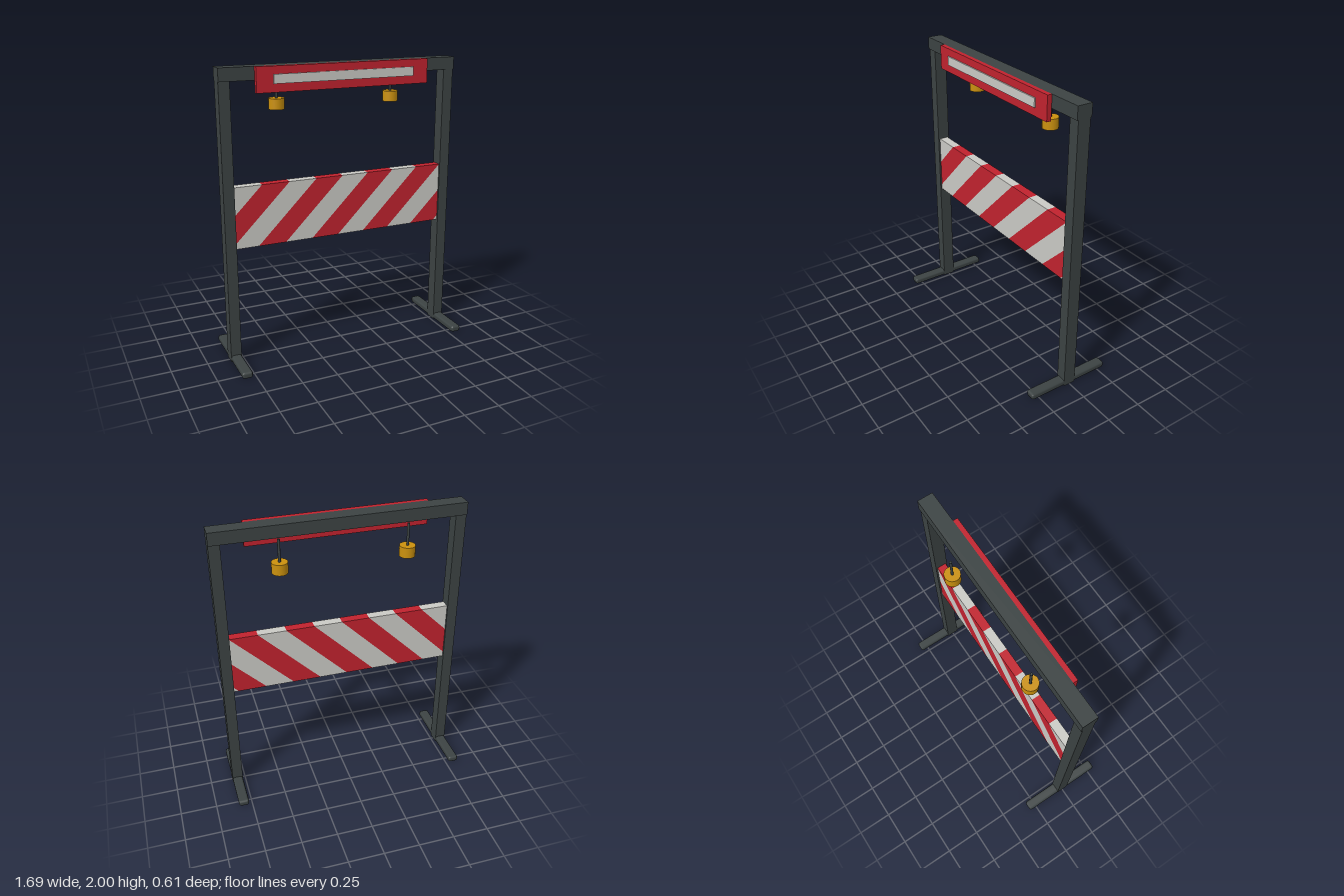
import * as THREE from 'three';
import { RoundedBoxGeometry } from 'three/addons/geometries/RoundedBoxGeometry.js';

const material = (name, color) => {
  const m = new THREE.MeshStandardMaterial({ color });
  m.name = name;
  return m;
};

// Keep the part of a polygon with side * x <= limit
function clipX(points, side, limit) {
  const out = [];
  points.forEach((p, i) => {
    const q = points[(i + 1) % points.length];
    const dp = side * p.x - limit, dq = side * q.x - limit;
    if (dp <= 0) out.push(p);
    if (dp * dq < 0) out.push(p.clone().lerp(q, dp / (dp - dq)));
  });
  return out;
}

export function createModel() {
  const model = new THREE.Group();
  model.name = 'barrier';
  const steel = material('dark steel', 0x3c4343);
  const red = material('signal red', 0xc1222e);
  const white = material('off white', 0xcacac5);
  const amber = material('amber', 0xcb910e);

  const add = (name, geometry, mat, x, y, z, parent = model) => {
    const mesh = new THREE.Mesh(geometry, mat);
    mesh.name = name;
    mesh.position.set(x, y, z);
    parent.add(mesh);
    return mesh;
  };

  // Frame: top beam, posts and chamfered feet
  add('topBeam', new THREE.BoxGeometry(1.69, 0.086, 0.106), steel, 0, 1.957, 0);
  for (const [side, s] of [['left', 1], ['right', -1]]) {
    add(side + 'Post', new THREE.BoxGeometry(0.074, 1.914, 0.088), steel, s * 0.808, 0.957, 0);
    const foot = new RoundedBoxGeometry(0.072, 0.046, 0.61, 1, 0.016);
    add(side + 'Foot', foot, steel, s * 0.808, 0.023, 0);
  }

  // Sign board with its pale strip
  add('signBoard', new THREE.BoxGeometry(1.225, 0.165, 0.032), red, 0, 1.9175, 0.069);
  add('signStrip', new THREE.BoxGeometry(1.0, 0.06, 0.009), white, 0, 1.92, 0.0895);

  // Hanging lamps behind the beam
  for (const [side, s] of [['left', 1], ['right', -1]]) {
    const lamp = new THREE.Group();
    lamp.name = side + 'Lamp';
    lamp.position.set(s * 0.422, 0, -0.091);
    model.add(lamp);
    add('lampRod', new THREE.CylinderGeometry(0.009, 0.009, 0.16, 8), steel, 0, 1.845, 0, lamp);
    add('lampHead', new THREE.CylinderGeometry(0.053, 0.053, 0.073, 20), amber, 0, 1.7365, 0, lamp);
  }

  // Striped panel: slanted bars cut off at the posts
  const half = 0.773, low = 0.81, high = 1.232, depth = 0.064;
  const pitch = half / 4, lean = high - low;
  const panel = new THREE.Group();
  panel.name = 'stripedPanel';
  model.add(panel);
  for (let k = -4; k <= 6; k++) {
    const a = k * pitch, b = a + pitch;
    const corners = [[a - lean, low], [b - lean, low], [b, high], [a, high]]
      .map(([x, y]) => new THREE.Vector2(x, y));
    const shape = new THREE.Shape(clipX(clipX(corners, 1, half), -1, half));
    const bar = new THREE.ExtrudeGeometry(shape, { depth, bevelEnabled: false });
    add('panelStripe', bar, k % 2 ? red : white, 0, 0, -depth / 2, panel);
  }

  return model;
}
